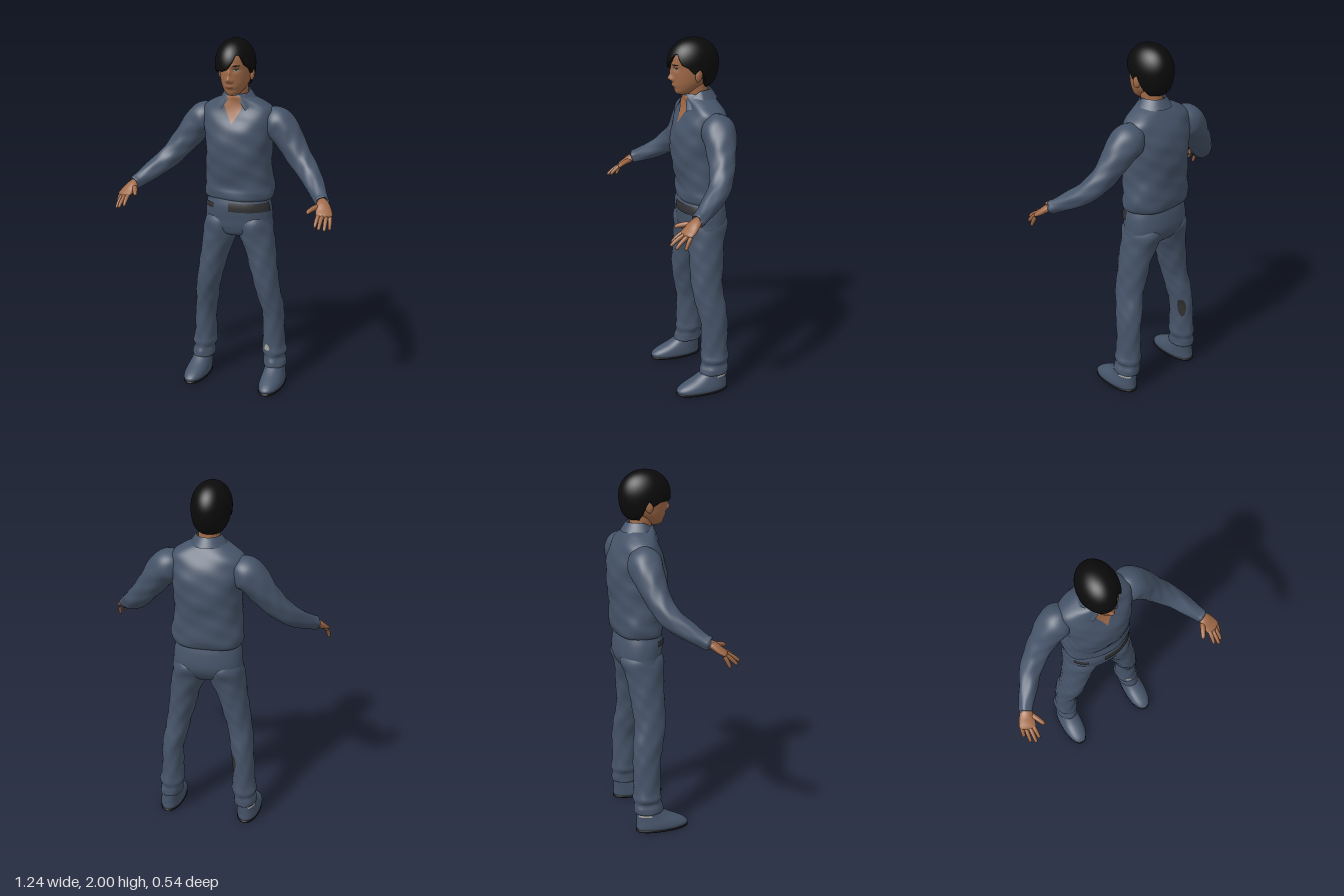
import * as THREE from 'three';
import { mergeVertices } from 'three/addons/utils/BufferGeometryUtils.js';

const V = (x, y, z) => new THREE.Vector3(x, y, z);
const PI = Math.PI;

function material(name, color, double = false) {
  const m = new THREE.MeshStandardMaterial({ color });
  m.name = name;
  if (double) m.side = THREE.DoubleSide;
  return m;
}

// Smooth surface through sections [x, y, z, sideRadius, frontRadius].
// ref: direction of angle 0; without it the rings lie flat and angle 0 faces +z.
function loft(secs, { ref = null, e = 1, ripple = 0, bump = null } = {}) {
  const centre = new THREE.CatmullRomCurve3(secs.map(s => V(s[0], s[1], s[2])), false, 'catmullrom', 0.5);
  const radii = new THREE.CatmullRomCurve3(secs.map(s => V(s[3], s[4], 0)), false, 'catmullrom', 0.5);
  const pw = v => Math.sign(v) * Math.abs(v) ** e;
  const at = (u, a, off = 0) => {
    const c = centre.getPoint(u), r = radii.getPoint(u);
    const T = ref ? centre.getTangent(u) : V(0, 1, 0);
    const S = T.clone().cross(ref || V(0, 0, 1)).normalize();
    const N = S.clone().cross(T);
    const w = ripple * (Math.sin(3 * a + c.y * 23) * Math.sin(c.y * 41 + 2 * a) + 0.6 * Math.sin(5 * a - c.y * 33));
    const k = off + w * Math.min(1, r.x / 0.05);
    const p = c.addScaledVector(S, (Math.max(r.x, 0) + k) * pw(Math.sin(a)))
      .addScaledVector(N, (Math.max(r.y, 0) + k) * pw(Math.cos(a)));
    if (bump) bump(p, a);
    return p;
  };
  at.uAt = y => {
    let lo = 0, hi = 1;
    for (let i = 0; i < 30; i++) {
      const m = (lo + hi) / 2;
      if (centre.getPoint(m).y < y) lo = m; else hi = m;
    }
    return lo;
  };
  return at;
}

// Grid over fn(u, v), u and v from 0 to 1
function grid(fn, rows, cols) {
  const pos = [], idx = [];
  for (let i = 0; i <= rows; i++) for (let j = 0; j <= cols; j++) pos.push(...fn(i / rows, j / cols).toArray());
  for (let i = 0; i < rows; i++) for (let j = 0; j < cols; j++) {
    const a = i * (cols + 1) + j, b = a + 1, c = a + cols + 1, d = c + 1;
    idx.push(a, b, d, a, d, c);
  }
  let g = new THREE.BufferGeometry();
  g.setAttribute('position', new THREE.Float32BufferAttribute(pos, 3));
  g.setIndex(idx);
  g = mergeVertices(g, 1e-5);
  g.computeVertexNormals();
  return g;
}
const tube = (s, rows = 40, cols = 40) => grid((u, v) => s(u, (v * 2 - 1) * PI), rows, cols);

// Thin plate lying on a loft, between two heights, around angle ac
const rect = () => 1, oval = t => Math.sqrt(Math.max(0, 1 - (2 * t - 1) ** 2)), wedge = t => t;
function patch(s, y0, y1, ac, aw, shape = rect, off = 0.003) {
  const u0 = s.uAt(y0), u1 = s.uAt(y1);
  return grid((u, v) => s(u0 + (u1 - u0) * u, ac + (v * 2 - 1) * aw * shape(u), off), 14, 24);
}

export function createModel() {
  const model = new THREE.Group();
  const cloth = material('blueCloth', 0x465469);
  const clothOpen = material('blueClothTwoSided', 0x465469, true);
  const skin = material('skin', 0xa06a48);
  const hairMat = material('blackHair', 0x0b0b0c, true);
  const dark = material('darkLeather', 0x303032);
  const sole = material('blackSole', 0x151518);
  const pale = material('paleSock', 0xaaa69c);
  const iris = material('eyeGreen', 0x2c4a44);
  const lip = material('lips', 0x85503c);
  const add = (name, geo, mat) => {
    const m = new THREE.Mesh(geo, mat);
    m.name = name;
    model.add(m);
    return m;
  };

  // Shirt, bloused over the waistband
  const shirt = loft([
    [0, 1.105, -0.105, 0.15, 0.1], [0, 1.115, -0.108, 0.188, 0.126], [0, 1.15, -0.112, 0.199, 0.136],
    [0, 1.2, -0.114, 0.196, 0.136], [0, 1.3, -0.105, 0.184, 0.149], [0, 1.4, -0.107, 0.184, 0.16],
    [0, 1.5, -0.108, 0.195, 0.152], [0, 1.57, -0.11, 0.205, 0.128], [0, 1.62, -0.11, 0.195, 0.105],
    [0, 1.66, -0.1, 0.14, 0.088], [0, 1.69, -0.087, 0.078, 0.075], [0, 1.705, -0.085, 0.06, 0.065],
  ], { e: 0.86, ripple: 0.003 });
  add('shirt', tube(shirt, 90, 80), cloth);
  add('openNeck', patch(shirt, 1.545, 1.695, 0, 0.45, wedge), skin);

  // Folded collar, higher at the back and open at the front
  add('collar', grid((u, v) => {
    const gap = 0.75 - 0.3 * u, a = gap + v * (2 * PI - 2 * gap);
    const k = Math.min(1, 1 - Math.cos(a));
    const y = (1.6 + 0.075 * k) * (1 - u) + (1.675 + 0.05 * k) * u;
    const r = 1 - u;
    return V((0.068 + 0.034 * r) * Math.sin(a), y, -0.082 + (0.08 + 0.032 * r) * Math.cos(a));
  }, 8, 60), clothOpen);

  // Hips and belt
  const hips = loft([
    [0, 0.888, -0.095, 0.01, 0.02], [0, 0.905, -0.096, 0.1, 0.085], [0, 0.95, -0.105, 0.188, 0.116],
    [0, 1.0, -0.11, 0.193, 0.129], [0, 1.07, -0.104, 0.187, 0.131], [0, 1.125, -0.104, 0.17, 0.12],
  ], { e: 0.9 });
  add('trouserHips', tube(hips, 40, 64), cloth);
  add('beltLeft', patch(hips, 1.05, 1.1, 0.68, 0.75, rect, 0.005), dark);
  add('beltRight', patch(hips, 1.062, 1.09, -0.85, 0.28, rect, 0.005), dark);

  for (const s of [1, -1]) {
    const side = s > 0 ? 'left' : 'right';
    const put = (name, geo, mat) => add(side + name, geo, mat);
    const mir = secs => secs.map(([x, ...r]) => [x * s, ...r]);

    // Trouser leg with gathered hem
    const leg = loft(mir([
      [0.222, 0.108, -0.11, 0.03, 0.04], [0.222, 0.112, -0.11, 0.062, 0.08], [0.221, 0.14, -0.112, 0.064, 0.083],
      [0.216, 0.17, -0.115, 0.06, 0.077], [0.216, 0.2, -0.117, 0.071, 0.081], [0.212, 0.25, -0.118, 0.064, 0.077],
      [0.208, 0.4, -0.118, 0.06, 0.078], [0.194, 0.5, -0.105, 0.066, 0.085], [0.176, 0.6, -0.088, 0.069, 0.088],
      [0.155, 0.7, -0.09, 0.077, 0.093], [0.135, 0.8, -0.093, 0.085, 0.098], [0.106, 0.9, -0.098, 0.102, 0.108],
      [0.096, 0.98, -0.108, 0.098, 0.122], [0.092, 1.05, -0.106, 0.07, 0.08],
    ]), { ripple: 0.0025 });
    put('TrouserLeg', tube(leg, 90, 40), cloth);
    if (s > 0) put('ShinPatch', patch(leg, 0.215, 0.255, -0.3, 0.25, oval), pale);
    else put('CalfPatch', patch(leg, 0.33, 0.45, 2.3, 0.35, oval), dark);

    // Shoe and sole
    const shoe = loft(mir([
      [0.231, 0.012, -0.036, 0.061, 0.146], [0.231, 0.03, -0.036, 0.065, 0.15], [0.23, 0.05, -0.046, 0.064, 0.138],
      [0.228, 0.07, -0.065, 0.06, 0.119], [0.226, 0.09, -0.086, 0.056, 0.098], [0.224, 0.115, -0.105, 0.052, 0.078],
      [0.222, 0.14, -0.11, 0.04, 0.06],
    ]), { e: 0.9 });
    put('Shoe', tube(shoe, 24, 48), cloth);
    put('Sole', tube(loft(mir([
      [0.231, 0, -0.036, 0, 0], [0.231, 0.001, -0.036, 0.056, 0.138],
      [0.231, 0.012, -0.036, 0.064, 0.15], [0.231, 0.02, -0.036, 0.058, 0.142],
    ]), { e: 0.9 }), 12, 48), sole);
    put('SockEdge', patch(shoe, 0.098, 0.108, s * 2.2, 0.5), pale);

    // Sleeve
    put('Sleeve', tube(loft(mir([
      [0.13, 1.56, -0.122, 0.05, 0.05], [0.2, 1.545, -0.127, 0.092, 0.09], [0.255, 1.5, -0.122, 0.088, 0.086],
      [0.31, 1.425, -0.108, 0.074, 0.076], [0.37, 1.348, -0.083, 0.064, 0.067], [0.43, 1.287, -0.043, 0.058, 0.059],
      [0.485, 1.237, 0.025, 0.049, 0.05], [0.53, 1.2, 0.085, 0.039, 0.04], [0.548, 1.187, 0.112, 0.037, 0.035],
      [0.55, 1.186, 0.116, 0.015, 0.015],
    ]), { ref: V(0.6 * s, 0.65, -0.45).normalize(), ripple: 0.0025 }), 70, 40), cloth);

    // Hand: palm, four fingers, thumb
    const up = V(0.2 * s, 0.8, 0.45).normalize();
    put('Palm', tube(loft(mir([
      [0.54, 1.192, 0.1, 0.027, 0.02], [0.555, 1.175, 0.132, 0.037, 0.021], [0.568, 1.152, 0.16, 0.044, 0.018],
      [0.578, 1.136, 0.186, 0.043, 0.013], [0.582, 1.131, 0.195, 0.02, 0.005], [0.583, 1.13, 0.196, 0, 0],
    ]), { ref: up }), 24, 28), skin);
    const fingers = [
      ['IndexFinger', [0.549, 1.141, 0.188], [0.547, 1.09, 0.256]], ['MiddleFinger', [0.568, 1.137, 0.184], [0.572, 1.083, 0.27]],
      ['RingFinger', [0.588, 1.133, 0.177], [0.597, 1.072, 0.248]], ['LittleFinger', [0.606, 1.13, 0.168], [0.614, 1.066, 0.202]],
      ['Thumb', [0.535, 1.17, 0.135], [0.492, 1.152, 0.22]],
    ];
    for (const [name, b, t] of fingers) {
      const q = (k, r, lift = 0) => [b[0] + (t[0] - b[0]) * k, b[1] + (t[1] - b[1]) * k + lift, b[2] + (t[2] - b[2]) * k, r, r];
      const w = name === 'Thumb' ? 1.25 : 1;
      put(name, tube(loft(mir([q(0, 0.011 * w), q(0.35, 0.0112 * w, 0.005), q(0.7, 0.01 * w, 0.004), q(0.93, 0.0075 * w), q(1, 0)]),
        { ref: up }), 16, 14), skin);
    }

    // Ear
    const ear = put('Ear', new THREE.SphereGeometry(1, 20, 16), skin);
    ear.scale.set(0.013, 0.036, 0.022);
    ear.position.set(0.089 * s, 1.815, -0.062);
    ear.rotation.set(-0.15, 0.3 * s, 0);
  }

  // Neck
  add('neck', tube(loft([
    [0, 1.6, -0.1, 0.06, 0.06], [0, 1.68, -0.085, 0.056, 0.06], [0, 1.76, -0.075, 0.058, 0.062],
  ]), 12, 40), skin);

  // Head with nose, lips, brow and eye sockets
  const bell = (d, w) => Math.exp(-(d * d) / (w * w));
  const head = loft([
    [0, 1.7, -0.002, 0.004, 0.006], [0, 1.704, -0.004, 0.026, 0.034], [0, 1.72, -0.012, 0.045, 0.054],
    [0, 1.74, -0.024, 0.06, 0.07], [0, 1.77, -0.042, 0.074, 0.097], [0, 1.81, -0.055, 0.083, 0.114],
    [0, 1.85, -0.06, 0.087, 0.121], [0, 1.9, -0.06, 0.088, 0.124], [0, 1.94, -0.06, 0.076, 0.108],
    [0, 1.97, -0.06, 0.042, 0.068], [0, 1.98, -0.06, 0.001, 0.001],
  ], {
    bump: (p, a) => {
      if (Math.cos(a) <= 0) return;
      const x = Math.abs(p.x), y = p.y;
      p.z += 0.022 * bell(x, 0.014) * bell(y - 1.793, 0.016) + 0.012 * bell(x, 0.01) * bell(y - 1.825, 0.025)
        + 0.008 * bell(x - 0.014, 0.008) * bell(y - 1.786, 0.009) + 0.008 * bell(x, 0.026) * bell(y - 1.752, 0.012)
        - 0.007 * bell(x - 0.034, 0.016) * bell(y - 1.845, 0.012) + 0.005 * bell(x - 0.03, 0.025) * bell(y - 1.868, 0.01);
    },
  });
  add('head', tube(head, 90, 120), skin);
  add('lips', patch(head, 1.745, 1.76, 0, 0.32, oval, 0.0015), lip);
  for (const s of [1, -1]) {
    add('eyeWhite', patch(head, 1.84, 1.852, s * 0.42, 0.16, oval, 0.0012), pale);
    add('iris', patch(head, 1.84, 1.852, s * 0.42, 0.075, oval, 0.002), iris);
    add('upperLid', patch(head, 1.85, 1.854, s * 0.42, 0.17, rect, 0.002), hairMat);
    add('eyebrow', patch(head, 1.866, 1.873, s * 0.44, 0.22, oval, 0.002), hairMat);
  }

  // Hair cap; lower edge height by angle from the front, fringe swept to one side
  const edge = [
    [-180, 1.735], [-125, 1.738], [-108, 1.77], [-92, 1.845], [-80, 1.81], [-65, 1.83], [-25, 1.832], [0, 1.848],
    [14, 1.88], [26, 1.925], [36, 1.925], [50, 1.87], [66, 1.85], [80, 1.815], [92, 1.845], [108, 1.77], [125, 1.738], [180, 1.735],
  ];
  const edgeY = deg => {
    let i = 0;
    while (i < edge.length - 2 && edge[i + 1][0] < deg) i++;
    const [a, p] = edge[i], [b, q] = edge[i + 1];
    return p + (q - p) * (deg - a) / (b - a);
  };
  add('hair', grid((u, v) => {
    const a = (v * 2 - 1) * PI;
    const end = Math.acos((edgeY(a * 180 / PI) - 1.868) / 0.14);
    const phi = end * (1 - u), sn = Math.sin(phi);
    const r = (phi > PI / 2 ? sn ** 0.5 : sn ** 0.93) * (u === 0 ? 0.84 : 1);
    const y = 1.868 + (phi < PI / 2 ? 0.132 : 0.14) * Math.cos(phi);
    return V(-0.007 + 0.107 * r * Math.sin(a), y, -0.062 + 0.142 * r * Math.cos(a));
  }, 40, 120), hairMat);

  return model;
}
